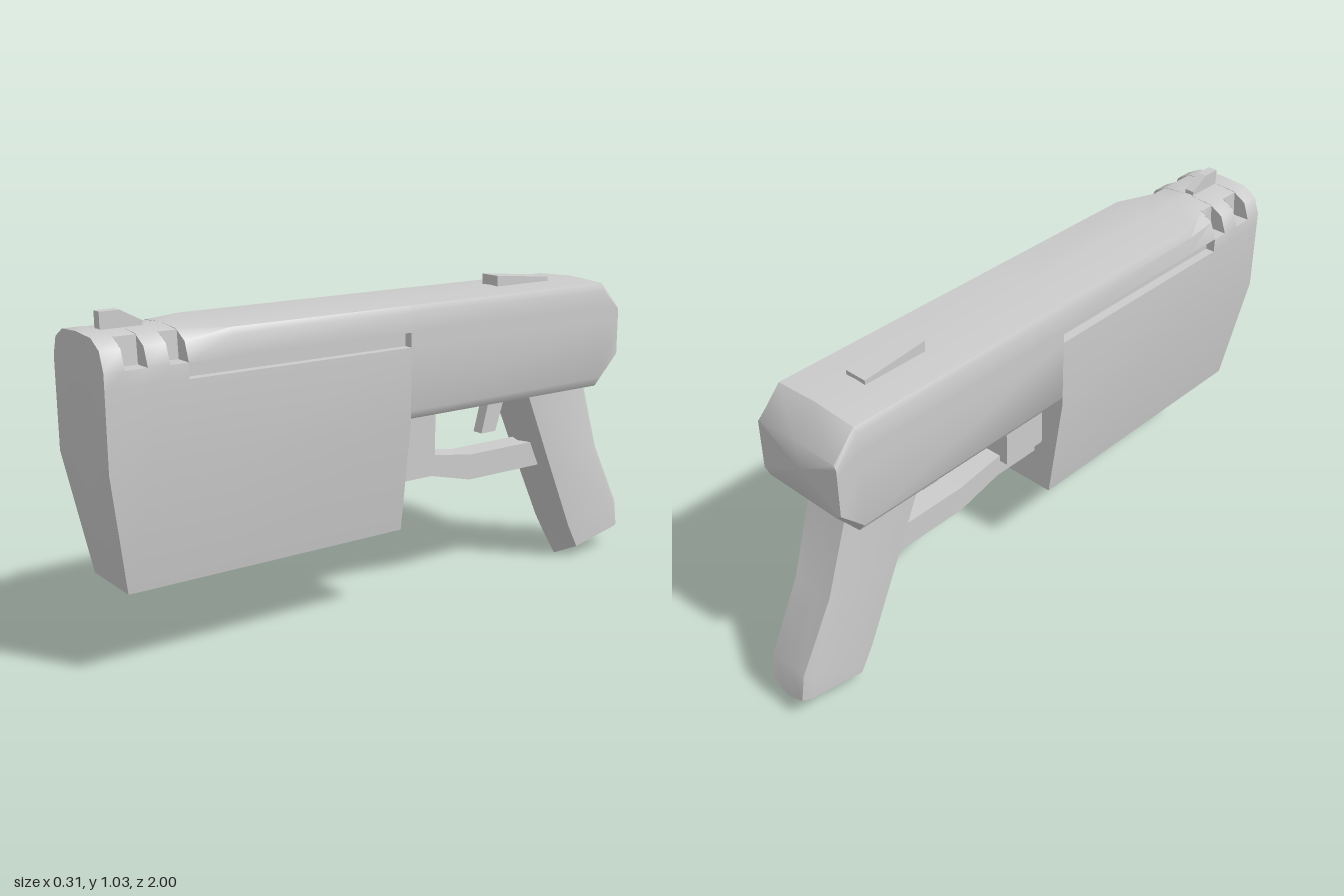
import * as THREE from 'three';
import { toCreasedNormals } from 'three/addons/utils/BufferGeometryUtils.js';

const material = new THREE.MeshStandardMaterial({ color: 0xcccccc });

// Skins a row of equal closed rings and closes both ends around the given centres.
function loft(rings, startCentre, endCentre, crease) {
  const pos = [];
  const [u, v] = [new THREE.Vector3(), new THREE.Vector3()];
  const tri = (a, b, c) => {
    u.subVectors(b, a);
    v.subVectors(c, a);
    if (u.cross(v).length() > 1e-7) pos.push(...a, ...b, ...c);
  };
  const n = rings[0].length;
  for (let i = 0; i < n; i++) {
    const j = (i + 1) % n;
    for (let k = 0; k < rings.length - 1; k++) {
      const [p, q] = [rings[k], rings[k + 1]];
      tri(p[i], q[i], q[j]);
      tri(p[i], q[j], p[j]);
    }
    const last = rings[rings.length - 1];
    tri(startCentre, rings[0][i], rings[0][j]);
    tri(endCentre, last[j], last[i]);
  }
  const g = new THREE.BufferGeometry();
  g.setAttribute('position', new THREE.Float32BufferAttribute(pos, 3));
  return toCreasedNormals(g, crease);
}

// Completes a half ring that starts and ends on x = 0.
function mirrored(half) {
  const other = half.slice(1, -1).reverse().map((p) => new THREE.Vector3(-p.x, p.y, p.z));
  return [...half, ...other];
}

// Side profile of [z, y] points, extruded across x.
function plate(points, halfWidth) {
  const shape = new THREE.Shape(points.map(([z, y]) => new THREE.Vector2(z, y)));
  const g = new THREE.ExtrudeGeometry(shape, { depth: 2 * halfWidth, bevelEnabled: false });
  g.translate(0, 0, -halfWidth);
  g.rotateY(-Math.PI / 2);
  return g;
}

const W = 0.157;
const shoulders = {
  round: [[0.137, 0.955], [0.09, 0.982]],
  notch: [[0.1, 0.9], [0.095, 0.98]],
  square: [[W, 0.96], [0.148, 0.98]],
};

// Half outline of the body: underside, flank, side groove, shoulder, top.
function bodyHalf(shoulder, groove, rear) {
  const g = groove ? W - 0.03 : W;
  const base = rear ? [[0, 0.63], [0.135, 0.63], [W, 0.66]] : [[0, 0.27], [0.107, 0.27], [W, 0.63]];
  return [...base, [W, 0.855], [g, 0.855], [g, 0.9], [W, 0.9], ...shoulders[shoulder], [0, 0.988]];
}

function bodyGeometry() {
  const stations = [
    [1, 'round'], [0.94, 'round'], [0.94, 'notch'], [0.875, 'notch'],
    [0.875, 'round'], [0.81, 'round'], [0.81, 'notch'], [0.755, 'notch'],
    [0.755, 'round', true], [0.62, 'square', true], [0.01, 'square', true],
    [0.01, 'square'], [0.01, 'square', false, true], [-0.79, 'square', false, true],
    [-0.865, 'square', false, true],
  ];
  const rings = stations.map(([z, shoulder, groove, rear], k) =>
    mirrored(bodyHalf(shoulder, groove, rear).map(([x, y]) => {
      // the nose leans back below the flank line
      const lean = k === 0 ? Math.max(0, 0.63 - y) / 6 : 0;
      // the tail closes in from above and below
      const py = k === stations.length - 1 ? 0.72 + (y - 0.63) * 0.51 : y;
      return new THREE.Vector3(x, py, z - lean);
    })));
  return loft(rings, new THREE.Vector3(0, 0.63, 1), new THREE.Vector3(0, 0.81, -0.865), 0.75);
}

function gripGeometry() {
  // front z, front y, back z, back y, half width, rise of the bottom edge
  const rows = [
    [-0.47, 0.67, -0.78, 0.67, 0.095, 0],
    [-0.59, 0.4, -0.87, 0.39, 0.09, 0],
    [-0.71, 0.12, -0.985, 0.17, 0.084, 0],
    [-0.76, 0, -1, 0.05, 0.081, 0.035],
  ];
  const outline = [[0, 0], [0.12, 1], [0.9, 1], [1, 0.8], [1, 0]]; // front to back, width share
  const at = ([fz, fy, bz, by, w, rise], [t, s]) =>
    new THREE.Vector3(w * s, fy + (by - fy) * t + rise * s, fz + (bz - fz) * t);
  const rings = rows.map((row) => mirrored(outline.map((o) => at(row, o))));
  return loft(rings, at(rows[0], [0.5, 0]), at(rows[3], [0.5, 0]), 0.8);
}

export function createModel() {
  const model = new THREE.Group();
  const add = (name, geometry) => {
    const mesh = new THREE.Mesh(geometry, material);
    mesh.name = name;
    model.add(mesh);
  };

  add('body', bodyGeometry());
  add('grip', gripGeometry());

  // Block behind the magazine housing
  add('guardBlock', plate([[0.02, 0.45], [-0.15, 0.45], [-0.15, 0.65], [0.02, 0.65]], 0.075));

  // Bar that joins the housing to the grip
  add('triggerGuard', plate([
    [0.02, 0.4], [-0.16, 0.4], [-0.32, 0.36], [-0.66, 0.36],
    [-0.66, 0.445], [-0.32, 0.445], [-0.16, 0.47], [0.02, 0.47],
  ], 0.045));

  add('trigger', plate([[-0.39, 0.5], [-0.45, 0.5], [-0.5, 0.65], [-0.43, 0.65]], 0.02));

  add('frontSight', plate([
    [0.94, 0.96], [0.94, 1.035], [0.88, 1.035], [0.815, 1], [0.815, 0.96],
  ], 0.016));

  add('rearSight', plate([[-0.43, 0.96], [-0.43, 1.02], [-0.65, 1], [-0.65, 0.96]], 0.037));

  return model;
}
